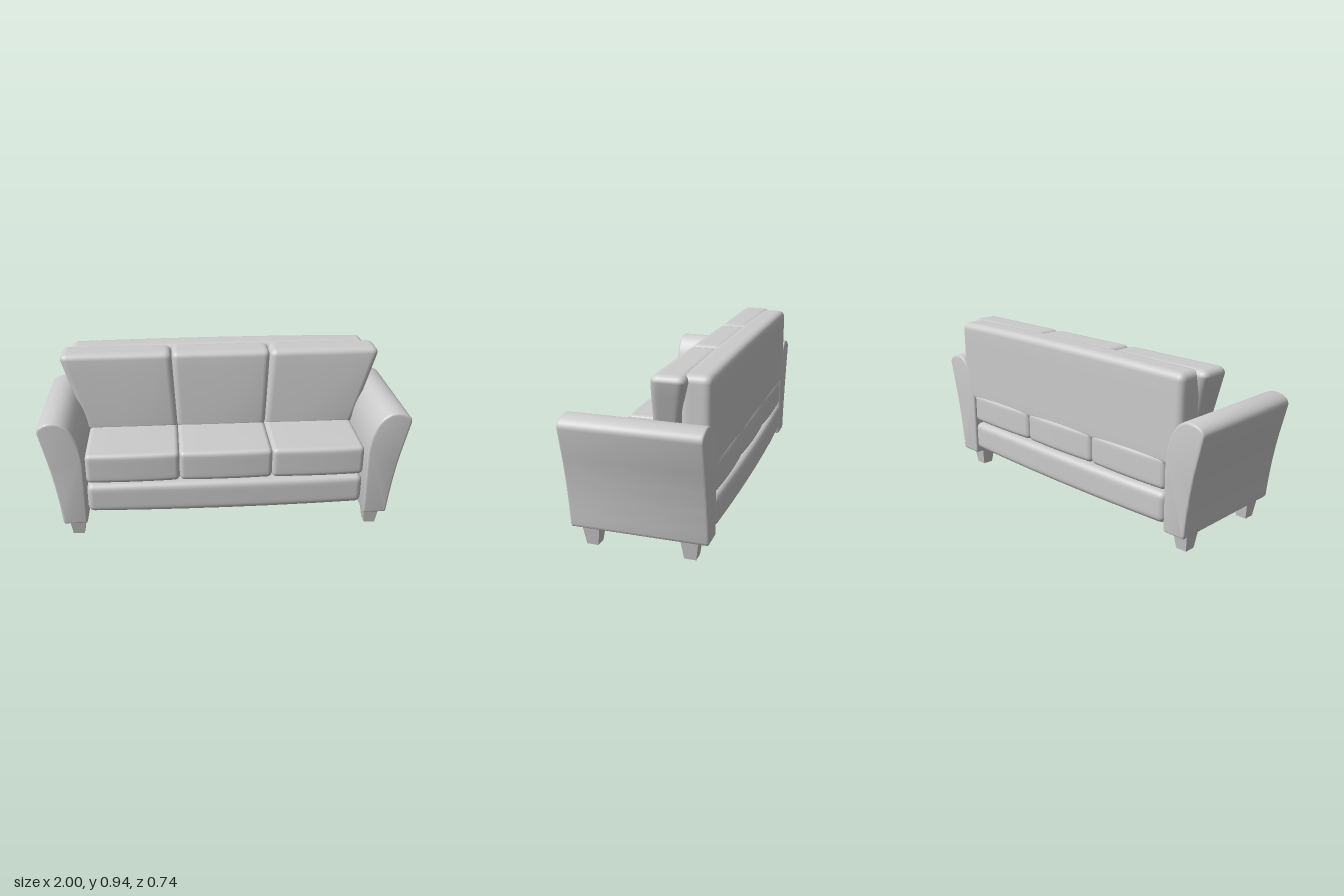
import * as THREE from 'three';
import { mergeVertices, toCreasedNormals } from 'three/addons/utils/BufferGeometryUtils.js';

const material = new THREE.MeshStandardMaterial({ color: 0xcccccc });
const EDGE = 3, MID = 6, N = EDGE * 2 + MID;

function addMesh(parent, name, geometry) {
  const mesh = new THREE.Mesh(geometry, material);
  mesh.name = name;
  parent.add(mesh);
  return mesh;
}

// Grid line i of N: EDGE lines inside each rounded edge, the rest over the flat middle
function gridPos(t, half, r) {
  const i = Math.round(t * N);
  if (i <= EDGE) return -half + (r * i) / EDGE;
  if (i >= N - EDGE) return half - (r * (N - i)) / EDGE;
  return -(half - r) + (2 * (half - r) * (i - EDGE)) / MID;
}

// Soft block between two corners, then reshaped by deform(point, u, v, w), with u, v, w in -1..1
function softBlock(min, max, radius, deform) {
  const lo = new THREE.Vector3(...min), hi = new THREE.Vector3(...max);
  const half = hi.clone().sub(lo).multiplyScalar(0.5);
  const centre = lo.clone().add(hi).multiplyScalar(0.5);
  const core = half.clone().subScalar(radius);
  let geo = new THREE.BoxGeometry(1, 1, 1, N, N, N);
  const pos = geo.attributes.position;
  const p = new THREE.Vector3(), inner = new THREE.Vector3();
  for (let i = 0; i < pos.count; i++) {
    p.fromBufferAttribute(pos, i);
    p.set(gridPos(p.x + 0.5, half.x, radius), gridPos(p.y + 0.5, half.y, radius), gridPos(p.z + 0.5, half.z, radius));
    inner.copy(p).clamp(core.clone().negate(), core);
    p.sub(inner).setLength(radius).add(inner);
    const n = p.clone().divide(half);
    p.add(centre);
    if (deform) deform(p, n.x, n.y, n.z);
    pos.setXYZ(i, p.x, p.y, p.z);
  }
  geo.deleteAttribute('normal');
  geo.deleteAttribute('uv');
  geo = mergeVertices(geo, 1e-5);
  geo.computeVertexNormals();
  return geo;
}

// Flared arm: side profile swept from back to front with a small soft edge
function armGeometry() {
  const s = new THREE.Shape();
  s.moveTo(0.775, 0.105);
  s.lineTo(0.893, 0.105);
  s.quadraticCurveTo(0.903, 0.105, 0.905, 0.13);
  s.quadraticCurveTo(0.925, 0.34, 0.962, 0.5);
  s.lineTo(0.998, 0.655);
  s.bezierCurveTo(1.005, 0.69, 0.96, 0.715, 0.91, 0.714);
  s.bezierCurveTo(0.83, 0.712, 0.775, 0.61, 0.77, 0.46);
  s.lineTo(0.77, 0.12);
  const bevel = 0.012;
  const geo = new THREE.ExtrudeGeometry(s, {
    depth: 0.725 - 2 * bevel, bevelThickness: bevel, bevelSize: bevel,
    bevelOffset: -bevel, bevelSegments: 3, curveSegments: 10,
  });
  geo.translate(0, 0, -0.355 + bevel);
  return toCreasedNormals(geo, 0.7);
}

export function createModel() {
  const sofa = new THREE.Group();
  sofa.name = 'sofa';

  // Seat base, bowed a little at front and back
  addMesh(sofa, 'seatBase', softBlock([-0.77, 0.14, -0.357], [0.77, 0.308, 0.315], 0.035, (p, u, v, w) => {
    p.z += 0.015 * w * (1 - u * u);
    p.y += 0.004 * v * (1 - u * u);
  }));

  // Three seat cushions
  [-1, 0, 1].forEach((k) => {
    const x = k * 0.512;
    addMesh(sofa, 'seatCushion', softBlock([x - 0.257, 0.322, -0.353], [x + 0.257, 0.495, 0.318], 0.028, (p, u, v, w) => {
      p.z += 0.008 * w * (1 - u * u);
      p.y += 0.004 * v * (1 - u * u) * (1 - w * w);
    }));
  });

  // Back frame with a slightly crowned top
  addMesh(sofa, 'backFrame', softBlock([-0.86, 0.45, -0.353], [0.86, 0.93, -0.2], 0.038, (p, u, v) => {
    if (v > 0) p.y += 0.008 * v * (1 - u * u);
  }));

  // Three leaning back cushions; the outer ones flare over the arms
  [-1, 0, 1].forEach((k) => {
    addMesh(sofa, 'backCushion', softBlock([-0.27, 0.47, -0.22], [0.27, 0.932, -0.06], 0.035, (p, u, v, w) => {
      const t = (p.y - 0.47) / 0.462;
      const inner = 0.257 + 0.026 * t;
      const outer = 0.77 + 0.14 * Math.min(1, t * 1.08);
      const f = p.x / 0.54 + 0.5;
      const x0 = k < 0 ? -outer : k > 0 ? inner : -inner;
      const x1 = k < 0 ? -inner : k > 0 ? outer : inner;
      p.x = x0 + (x1 - x0) * f;
      const front = -0.047 - 0.02 * t * t + 0.012 * (1 - u * u) * (1 - t);
      const back = -0.145 - 0.097 * Math.min(1, t * 1.1);
      p.z = back + (front - back) * ((p.z + 0.22) / 0.16);
    }));
  });

  // Arms and tapered legs on both sides
  const arm = armGeometry();
  const leg = new THREE.CylinderGeometry(0.047 * Math.SQRT2, 0.031 * Math.SQRT2, 0.11, 4);
  leg.rotateY(Math.PI / 4);
  const legGeo = toCreasedNormals(leg, 0.5);
  for (const side of [1, -1]) {
    const armMesh = addMesh(sofa, side > 0 ? 'leftArm' : 'rightArm', arm);
    armMesh.scale.x = side;
    for (const z of [0.27, -0.25]) {
      addMesh(sofa, z > 0 ? 'frontLeg' : 'backLeg', legGeo).position.set(side * 0.833, 0.055, z);
    }
  }
  return sofa;
}
